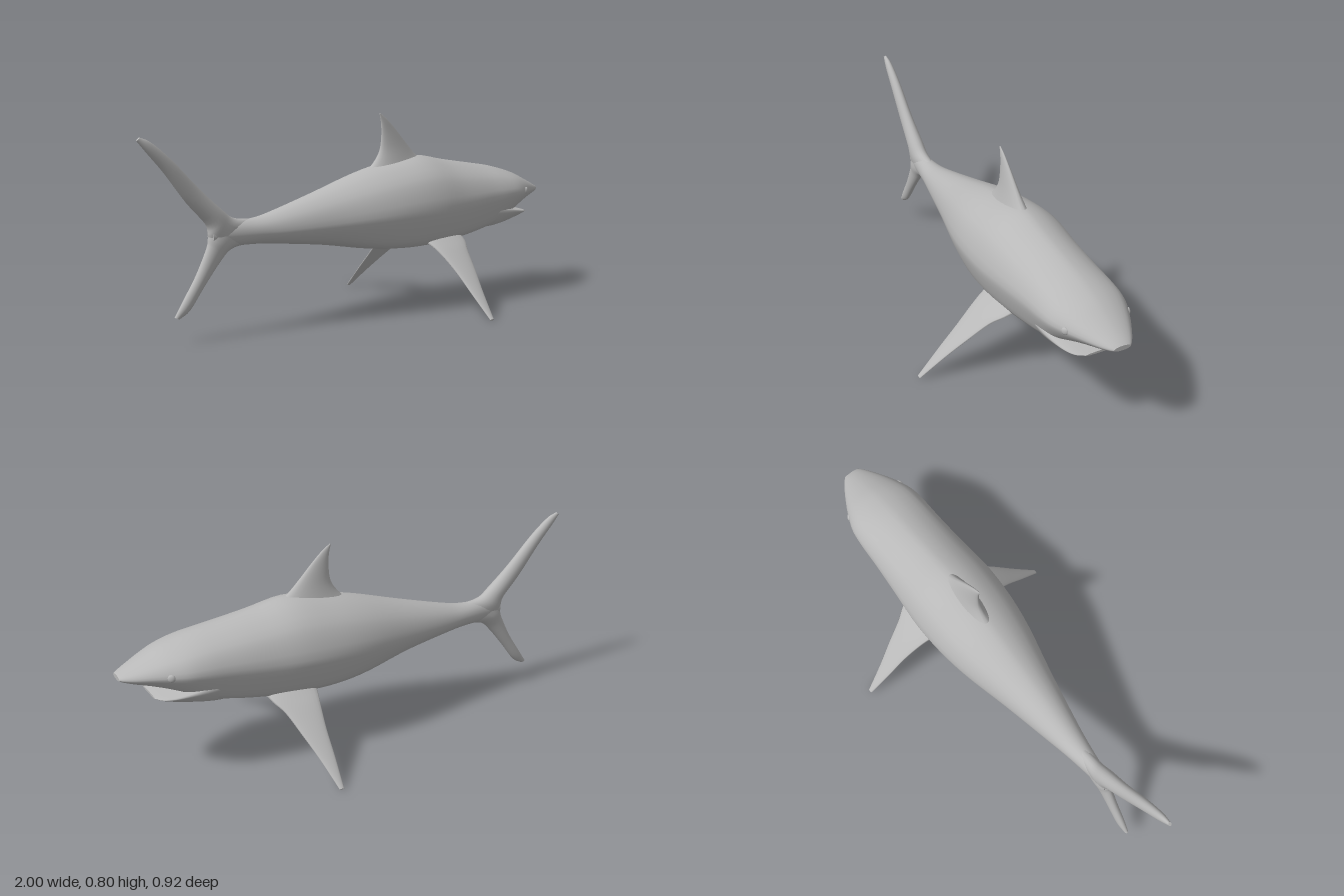
import * as THREE from 'three';

const V = (x, y, z) => new THREE.Vector3(x, y, z);

// Smooth skin over a list of closed rings, with flat end caps; always faces outward
function loft(rings) {
  const n = rings[0].length, m = rings.length, pos = [], idx = [];
  rings.forEach(r => r.forEach(p => pos.push(p.x, p.y, p.z)));
  for (let i = 0; i < m - 1; i++) for (let j = 0; j < n; j++) {
    const a = i * n + j, b = i * n + (j + 1) % n;
    idx.push(a, b, a + n, b, b + n, a + n);
  }
  const cap = (ring, flip) => {
    const c = ring.reduce((s, p) => s.add(p), V(0, 0, 0)).divideScalar(n);
    const o = pos.length / 3;
    [c, ...ring].forEach(p => pos.push(p.x, p.y, p.z));
    for (let j = 0; j < n; j++) {
      const a = o + 1 + j, b = o + 1 + (j + 1) % n;
      idx.push(o, flip ? b : a, flip ? a : b);
    }
  };
  cap(rings[0], true);
  cap(rings[m - 1], false);
  let vol = 0;
  const at = i => V(pos[3 * i], pos[3 * i + 1], pos[3 * i + 2]);
  for (let t = 0; t < idx.length; t += 3) vol += at(idx[t]).dot(at(idx[t + 1]).cross(at(idx[t + 2])));
  if (vol < 0) idx.reverse();
  const g = new THREE.BufferGeometry();
  g.setAttribute('position', new THREE.Float32BufferAttribute(pos, 3));
  g.setIndex(idx);
  g.computeVertexNormals();
  return g;
}

// Fill in stations between the given rows with a smooth curve through every column
function refine(rows, steps) {
  const cols = rows[0].map((_, c) => new THREE.CatmullRomCurve3(
    rows.map((r, i) => V(i, r[c], 0)), false, 'catmullrom', 0.5));
  const count = (rows.length - 1) * steps;
  return Array.from({ length: count + 1 }, (_, i) => cols.map(c => c.getPoint(i / count).y));
}

// Body section: sloping shoulders, widest at the middle, broad flat belly
const half = new THREE.CatmullRomCurve3([
  [0, 1], [0.2, 0.96], [0.45, 0.85], [0.74, 0.62], [0.9, 0.35], [1, 0],
  [0.95, -0.3], [0.86, -0.6], [0.73, -0.88], [0.42, -0.98], [0, -1],
].map(p => V(p[0], p[1], 0))).getPoints(20);
const section = half.concat(half.slice(1, -1).reverse().map(p => V(-p.x, p.y, 0)));

// Row: x, top, bottom, height of widest point, half width, share of flat-belly section
const bodyRing = ([x, top, bottom, mid, w, k]) => section.map(p => {
  const a = Math.atan2(p.y, p.x);
  const z = THREE.MathUtils.lerp(Math.cos(a), p.x, k);
  const y = THREE.MathUtils.lerp(Math.sin(a), p.y, k);
  return V(x, mid + y * (y > 0 ? top - mid : mid - bottom), z * w);
});

// Lens-shaped fin section between two edge points, with half thickness along a direction
const finRing = (front, rear, t, dir) => {
  const c = front.clone().add(rear).multiplyScalar(0.5);
  const u = front.clone().sub(rear).multiplyScalar(0.5);
  return Array.from({ length: 20 }, (_, i) => {
    const a = i / 20 * Math.PI * 2;
    return c.clone().addScaledVector(u, Math.cos(a)).addScaledVector(dir, Math.sin(a) * t);
  });
};

// Upright fin: rows of front x, front y, rear x, rear y, half thickness
const uprightFin = rows => loft(refine(rows, 4).map(([fx, fy, rx, ry, t]) =>
  finRing(V(fx, fy, 0), V(rx, ry, 0), t, V(0, 0, 1))));

export function createModel() {
  const model = new THREE.Group();
  const skin = new THREE.MeshStandardMaterial({ color: 0xb8b8b8 });
  skin.name = 'grey skin';
  const add = (name, geometry) => {
    const mesh = new THREE.Mesh(geometry, skin);
    mesh.name = name;
    model.add(mesh);
    return mesh;
  };

  // Torso, head and snout in one skin
  add('body', loft(refine([
    [-0.7, 0.425, 0.36, 0.39, 0.022, 0],
    [-0.6, 0.437, 0.345, 0.39, 0.036, 0],
    [-0.5, 0.442, 0.341, 0.39, 0.052, 0],
    [-0.4, 0.464, 0.331, 0.39, 0.072, 0.1],
    [-0.2, 0.52, 0.306, 0.4, 0.115, 0.4],
    [0, 0.58, 0.272, 0.415, 0.163, 0.8],
    [0.15, 0.612, 0.26, 0.425, 0.185, 1],
    [0.3, 0.63, 0.261, 0.43, 0.19, 1],
    [0.45, 0.604, 0.272, 0.435, 0.178, 1],
    [0.6, 0.58, 0.297, 0.445, 0.168, 1],
    [0.7, 0.564, 0.325, 0.45, 0.164, 0.9],
    [0.77, 0.548, 0.36, 0.452, 0.156, 0.8],
    [0.83, 0.53, 0.385, 0.452, 0.135, 0.7],
    [0.89, 0.504, 0.403, 0.45, 0.106, 0.5],
    [0.95, 0.477, 0.417, 0.445, 0.072, 0.3],
    [0.985, 0.461, 0.427, 0.443, 0.048, 0],
    [1, 0.453, 0.434, 0.443, 0.034, 0],
  ], 4).map(bodyRing)));

  // Lower jaw, leaving an open mouth beneath the snout
  add('lowerJaw', loft(refine([
    [0.58, 0.44, 0.3, 0.38, 0.13, 1],
    [0.64, 0.44, 0.303, 0.38, 0.145, 1],
    [0.7, 0.42, 0.312, 0.375, 0.146, 1],
    [0.76, 0.392, 0.324, 0.37, 0.14, 1],
    [0.82, 0.376, 0.337, 0.362, 0.124, 1],
    [0.86, 0.367, 0.346, 0.358, 0.102, 1],
    [0.882, 0.361, 0.352, 0.357, 0.07, 1],
  ], 4).map(bodyRing)));

  add('dorsalFin', uprightFin([
    [0.35, 0.6, 0.02, 0.56, 0.045],
    [0.295, 0.638, 0.075, 0.607, 0.033],
    [0.245, 0.687, 0.108, 0.655, 0.022],
    [0.19, 0.745, 0.118, 0.71, 0.013],
    [0.145, 0.787, 0.117, 0.765, 0.007],
    [0.112, 0.81, 0.108, 0.808, 0.002],
  ]));

  add('upperTailLobe', uprightFin([
    [-0.52, 0.438, -0.7, 0.35, 0.03],
    [-0.6, 0.449, -0.71, 0.39, 0.034],
    [-0.655, 0.487, -0.72, 0.435, 0.033],
    [-0.75, 0.572, -0.8, 0.52, 0.026],
    [-0.86, 0.682, -0.89, 0.635, 0.021],
    [-0.94, 0.748, -0.955, 0.708, 0.015],
    [-0.985, 0.768, -0.998, 0.757, 0.006],
  ]));

  add('lowerTailLobe', uprightFin([
    [-0.54, 0.346, -0.7, 0.43, 0.03],
    [-0.615, 0.333, -0.71, 0.38, 0.03],
    [-0.665, 0.288, -0.718, 0.345, 0.023],
    [-0.735, 0.203, -0.765, 0.25, 0.019],
    [-0.795, 0.125, -0.82, 0.165, 0.016],
    [-0.84, 0.097, -0.86, 0.105, 0.008],
  ]));

  // Paired fins and eyes; rows are front x, rear x, y, z, half thickness
  const pectoral = refine([
    [0.46, 0.24, 0.3, 0.1, 0.024],
    [0.445, 0.252, 0.274, 0.155, 0.014],
    [0.415, 0.265, 0.24, 0.205, 0.011],
    [0.385, 0.28, 0.175, 0.28, 0.009],
    [0.352, 0.288, 0.1, 0.36, 0.007],
    [0.319, 0.3, 0.009, 0.455, 0.005],
  ], 4);
  for (const [side, s] of [['left', -1], ['right', 1]]) {
    add(side + 'PectoralFin', loft(pectoral.map(([fx, rx, y, z, t]) =>
      finRing(V(fx, y, z * s), V(rx, y, z * s), t, V(0, 0.75, 0.66 * s)))));
    const eye = add(side + 'Eye', new THREE.SphereGeometry(0.015, 16, 12));
    eye.scale.set(1, 1, 0.5);
    eye.position.set(0.835, 0.452, 0.13 * s);
    eye.rotation.y = 0.5 * s;
  }

  return model;
}
